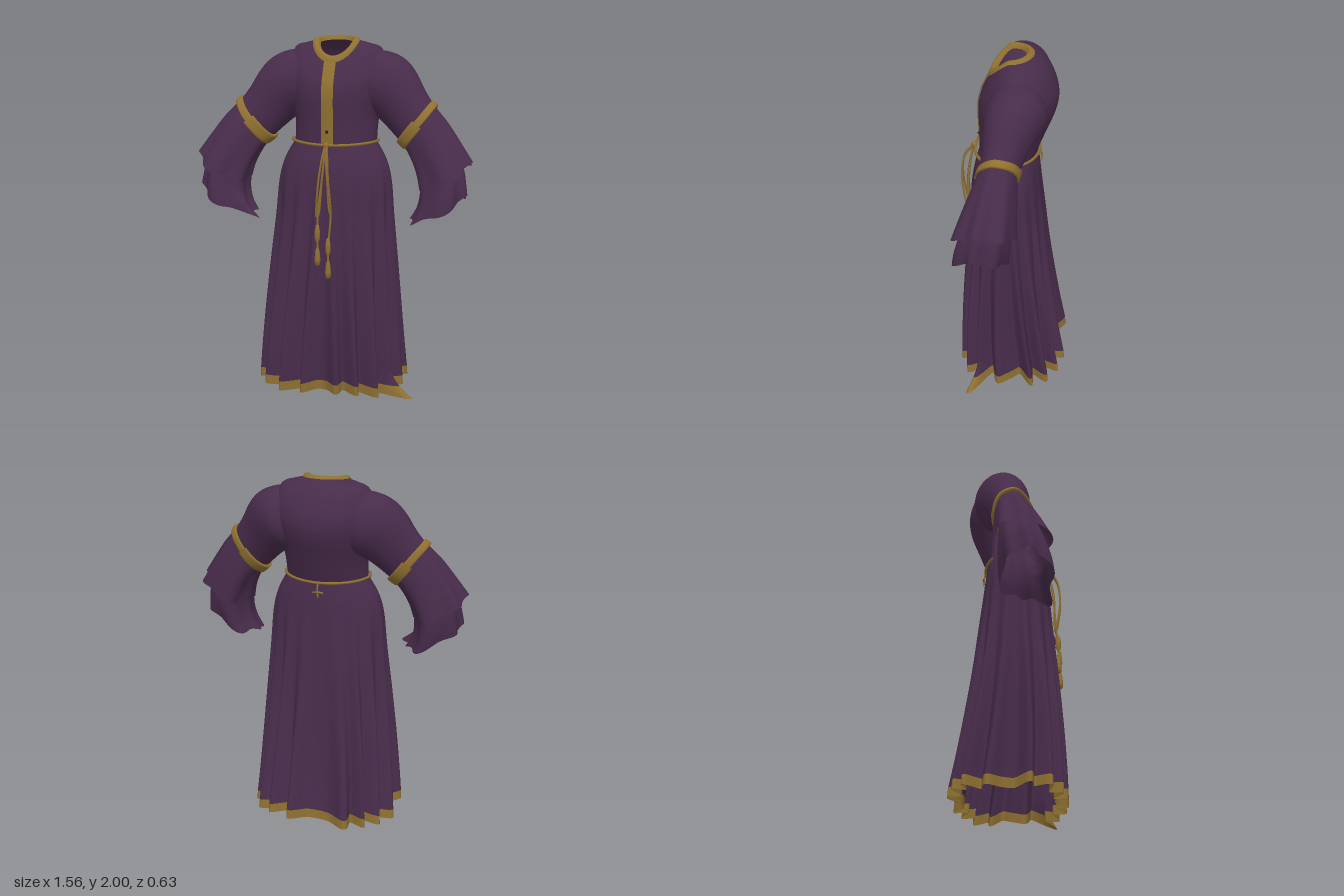
import * as THREE from 'three';

const make = (name, color) => {
  const m = new THREE.MeshStandardMaterial({ color, side: THREE.DoubleSide });
  m.name = name;
  return m;
};
const cloth = make('purple cloth', 0x482c4b);
const gold = make('gold trim', 0x8f7030);
const dark = make('dark button', 0x2a1a20);

// Smoothly blended cross-section at t (0..1) along a list of rows
function rowAt(rows, t) {
  const f = t * (rows.length - 1), i = Math.min(Math.floor(f), rows.length - 2), k = f - i;
  const r = (j) => rows[Math.max(0, Math.min(rows.length - 1, j))];
  return rows[i].map((b, c) => {
    const a = r(i - 1)[c], d = r(i + 1)[c], e = r(i + 2)[c];
    return b + 0.5 * k * (d - a + k * (2 * a - 5 * b + 4 * d - e + k * (3 * (b - d) + e - a)));
  });
}

// Surface through rows; point(row, s) places each vertex, s runs from s0 to s1
function loft(name, mat, rows, point, nv, nu, s0 = 0, s1 = Math.PI * 2) {
  const closed = s0 === 0 && s1 === Math.PI * 2;
  const cols = closed ? nu : nu + 1, pos = [], idx = [];
  for (let i = 0; i <= nv; i++) {
    const row = rowAt(rows, i / nv);
    for (let j = 0; j < cols; j++) pos.push(...point(row, s0 + (s1 - s0) * j / nu));
  }
  for (let i = 0; i < nv; i++) {
    for (let j = 0; j < nu; j++) {
      const a = i * cols + j, b = i * cols + (j + 1) % cols;
      idx.push(a, b, a + cols, b, b + cols, a + cols);
    }
  }
  const g = new THREE.BufferGeometry();
  g.setAttribute('position', new THREE.Float32BufferAttribute(pos, 3));
  g.setIndex(idx);
  g.computeVertexNormals();
  const mesh = new THREE.Mesh(g, mat);
  mesh.name = name;
  return mesh;
}

// Body row: half width, y at front / sides / back, z at front / back
function bodyPoint([hx, yf, ys, yb, zf, zb], a) {
  const s = Math.sin(a);
  return [hx * Math.cos(a), ys + ((s > 0 ? yf : yb) - ys) * Math.abs(s) ** 1.4, (zf + zb) / 2 + (zf - zb) / 2 * s];
}

// Fold ridges round the skirt: angle, width
const ridges = [[0.1, 0.13], [0.48, 0.12], [0.85, 0.14], [1.2, 0.1], [1.46, 0.07], [1.72, 0.07], [2.05, 0.12],
  [2.42, 0.16], [2.85, 0.13], [3.3, 0.14], [3.75, 0.14], [4.08, 0.1], [4.4, 0.13], [4.95, 0.11], [5.3, 0.1], [5.65, 0.14],
  [6.0, 0.1]];
function ridgeHeight(a) {
  return ridges.reduce((top, [c, w]) => {
    const d = Math.atan2(Math.sin(a - c), Math.cos(a - c)) / w;
    return Math.max(top, Math.exp(-d * d));
  }, 0);
}

// Skirt row: half width, y, z front, z back; it grows boxier and more folded toward the hem
function skirtPoint([hx, y, zf, zb], a) {
  const t = THREE.MathUtils.smoothstep(1.42 - y, 0, 1.45);
  const low = Math.max(0, 1 - y / 0.14);
  const corner = Math.exp(-(((a - 0.48) / 0.1) ** 2)) * low * low;
  const fold = 1 - (0.03 * Math.min(1, t * 8) + 0.22 * t) * (1 - ridgeHeight(a));
  const r = THREE.MathUtils.lerp(fold, 1.36, corner);
  const box = (v) => Math.sign(v) * Math.abs(v) ** (1 - 0.3 * t);
  const wobble = 0.01 * Math.sin(5 * a + 1) * Math.max(0, 1 - y);
  return [hx * box(Math.cos(a)) * r - 0.02 * t, y + wobble,
    (zf + zb) / 2 + (zf - zb) / 2 * box(Math.sin(a)) * r];
}

// Sleeve row: centre x, y, z, half axis x, y, half depth, ripple
function sleevePoint([cx, cy, cz, ux, uy, d, amp], a) {
  const r = 1 + amp * Math.sin(6 * a + 1.2 * Math.sin(2 * a));
  const c = Math.cos(a) * r;
  const sag = amp * (0.12 * Math.sin(4 * a) - 0.35 * Math.abs(Math.sin(a)));
  return [cx + ux * c, cy + uy * c + sag, cz + d * Math.sin(a) * r];
}

function tube(name, pts, radius, closed = false) {
  const curve = new THREE.CatmullRomCurve3(pts.map((p) => new THREE.Vector3(...p)), closed);
  const mesh = new THREE.Mesh(new THREE.TubeGeometry(curve, 48, radius, 6, closed), gold);
  mesh.name = name;
  return mesh;
}

// Part of the gold ring round the arm, w = half width along the arm
function armBand(name, w, s0, s1) {
  const ring = (k, grow) => [0.465 + 0.79 * k, 1.53 - 0.62 * k, 0.05 + 0.3 * k, 0.085 * grow, 0.108 * grow, 0.1 * grow, 0.01];
  const rows = [ring(-w, 0.95), ring(-w, 1.1), ring(0, 1.13), ring(w, 1.11), ring(w, 0.95)];
  return loft(name, gold, rows, sleevePoint, 12, 24, s0, s1);
}

// tip = how far the inner front corner of the lower hem is drawn out
function sleeve(name, tip) {
  const g = new THREE.Group();
  g.name = name;
  g.add(loft('upperSleeve', cloth, [
    [0.10, 1.755, -0.02, 0.02, 0.12, 0.10, 0],
    [0.18, 1.755, -0.02, 0.035, 0.165, 0.145, 0],
    [0.25, 1.74, -0.02, 0.062, 0.168, 0.16, 0],
    [0.31, 1.71, -0.008, 0.081, 0.155, 0.149, 0],
    [0.36, 1.66, 0.01, 0.088, 0.138, 0.13, 0],
    [0.41, 1.595, 0.03, 0.086, 0.12, 0.112, 0],
    [0.465, 1.53, 0.05, 0.085, 0.108, 0.1, 0],
  ], sleevePoint, 28, 40));
  g.add(armBand('upperArmBand', 0.02, -1.45, 1.45), armBand('lowerArmBand', 0.03, 1.45, 4.83));
  g.add(loft('upperBell', cloth, [
    [0.47, 1.525, 0.052, 0.086, 0.108, 0.1, 0.01],
    [0.53, 1.455, 0.07, 0.1, 0.095, 0.12, 0.04],
    [0.585, 1.37, 0.09, 0.115, 0.082, 0.14, 0.06],
    [0.635, 1.275, 0.11, 0.138, 0.066, 0.16, 0.09],
  ], sleevePoint, 18, 60));
  const hemPoint = (row, a) => {
    const p = sleevePoint(row, a);
    const pull = tip * Math.exp(-(((a - 2.5) / 0.3) ** 2)) * Math.max(0, (row[6] - 0.06) / 0.03);
    return [p[0] - pull, p[1], p[2] + 0.4 * pull];
  };
  g.add(loft('lowerBell', cloth, [
    [0.56, 1.38, 0.09, 0.09, 0.07, 0.11, 0.03],
    [0.61, 1.25, 0.11, 0.115, 0.065, 0.13, 0.05],
    [0.615, 1.16, 0.125, 0.128, 0.068, 0.14, 0.07],
    [0.60, 1.09, 0.135, 0.15, 0.072, 0.14, 0.09],
  ], hemPoint, 16, 60));
  return g;
}

// Bead and tassel on the end of a cord
function tassel(name, x, y, z) {
  const profile = [[0, 0.06], [0.009, 0.055], [0.015, 0.02], [0.015, -0.02], [0.006, -0.04], [0.005, -0.07],
    [0.012, -0.085], [0.017, -0.14], [0.014, -0.17], [0, -0.17]];
  const g = new THREE.LatheGeometry(profile.map((p) => new THREE.Vector2(...p)).reverse(), 12);
  const mesh = new THREE.Mesh(g, gold);
  mesh.name = name;
  mesh.position.set(x, y, z);
  return mesh;
}

export function createModel() {
  const robe = new THREE.Group();
  robe.name = 'robe';

  // Bodice with collar and front placket
  const bodice = [
    [0.11, 1.885, 1.975, 1.985, 0.115, -0.075],
    [0.175, 1.85, 1.962, 1.962, 0.14, -0.125],
    [0.245, 1.80, 1.935, 1.90, 0.165, -0.185],
    [0.285, 1.74, 1.83, 1.79, 0.19, -0.228],
    [0.272, 1.66, 1.70, 1.69, 0.2, -0.222],
    [0.237, 1.55, 1.55, 1.55, 0.197, -0.17],
    [0.232, 1.42, 1.42, 1.42, 0.195, -0.12],
  ];
  robe.add(loft('bodice', cloth, bodice, bodyPoint, 36, 64));
  robe.add(loft('collar', gold, [
    [0.088, 1.88, 1.965, 1.975, 0.10, -0.055],
    [0.10, 1.897, 1.988, 1.998, 0.115, -0.07],
    [0.122, 1.887, 1.988, 1.994, 0.135, -0.09],
    [0.132, 1.86, 1.976, 1.984, 0.146, -0.1],
  ], bodyPoint, 12, 64));
  const placketPoint = (row, x) => {
    const p = bodyPoint(row, Math.acos(x / row[0]));
    return [p[0], p[1] + 0.003, p[2] + 0.006];
  };
  robe.add(loft('placket', gold, bodice, placketPoint, 36, 6, 0.025, -0.042));
  const button = new THREE.Mesh(new THREE.SphereGeometry(0.009, 10, 8), dark);
  button.name = 'button';
  button.position.set(-0.01, 1.49, 0.202);
  robe.add(button);

  // Skirt with folds and gold hem
  robe.add(loft('skirt', cloth, [
    [0.232, 1.425, 0.195, -0.12],
    [0.292, 1.32, 0.225, -0.135],
    [0.325, 1.2, 0.245, -0.148],
    [0.343, 1.0, 0.262, -0.172],
    [0.368, 0.75, 0.285, -0.2],
    [0.39, 0.5, 0.305, -0.235],
    [0.41, 0.25, 0.32, -0.275],
    [0.425, 0.065, 0.325, -0.31],
  ], skirtPoint, 48, 240));
  robe.add(loft('hemBand', gold, [
    [0.425, 0.065, 0.325, -0.31],
    [0.428, 0.011, 0.325, -0.315],
  ], skirtPoint, 4, 240));

  // Sleeves
  const left = sleeve('leftSleeve', 0), right = sleeve('rightSleeve', 0.08);
  right.scale.x = -1;
  robe.add(left, right);

  // Cord belt, front bow and back tie
  const ring = [];
  for (let i = 0; i < 16; i++) {
    const a = i * Math.PI / 8;
    ring.push([0.243 * Math.cos(a), 1.425 + 0.006 * Math.cos(2 * a), 0.045 + 0.178 * Math.sin(a)]);
  }
  robe.add(tube('beltCord', ring, 0.008, true));
  const knot = new THREE.Mesh(new THREE.SphereGeometry(0.016, 12, 8), gold);
  knot.name = 'beltKnot';
  knot.position.set(-0.005, 1.42, 0.232);
  robe.add(knot);
  robe.add(tube('bowLoopLeft', [[0, 1.42, 0.235], [0.008, 1.35, 0.285], [0.022, 1.2, 0.3], [0.032, 1.04, 0.272],
    [0.022, 1.06, 0.268], [0.008, 1.25, 0.265], [-0.002, 1.41, 0.235]], 0.006));
  robe.add(tube('bowLoopRight', [[-0.01, 1.42, 0.235], [-0.016, 1.35, 0.285], [-0.035, 1.2, 0.3], [-0.05, 1.02, 0.272],
    [-0.04, 1.04, 0.268], [-0.02, 1.25, 0.265], [-0.008, 1.41, 0.235]], 0.006));
  robe.add(tube('cordEndLeft', [[0, 1.42, 0.235], [0.012, 1.25, 0.262], [0.03, 1.05, 0.272], [0.022, 0.9, 0.285]], 0.006));
  robe.add(tube('cordEndRight', [[-0.01, 1.42, 0.235], [-0.02, 1.25, 0.262], [-0.04, 1.08, 0.272], [-0.043, 0.95, 0.282]], 0.006));
  robe.add(tassel('tasselLeft', 0.02, 0.86, 0.29), tassel('tasselRight', -0.042, 0.93, 0.285));
  robe.add(tube('backTie', [[0, 1.425, -0.135], [0.004, 1.39, -0.142], [0, 1.34, -0.145]], 0.005));
  robe.add(tube('backTieBar', [[-0.03, 1.365, -0.143], [0, 1.37, -0.146], [0.03, 1.365, -0.143]], 0.005));
  return robe;
}
